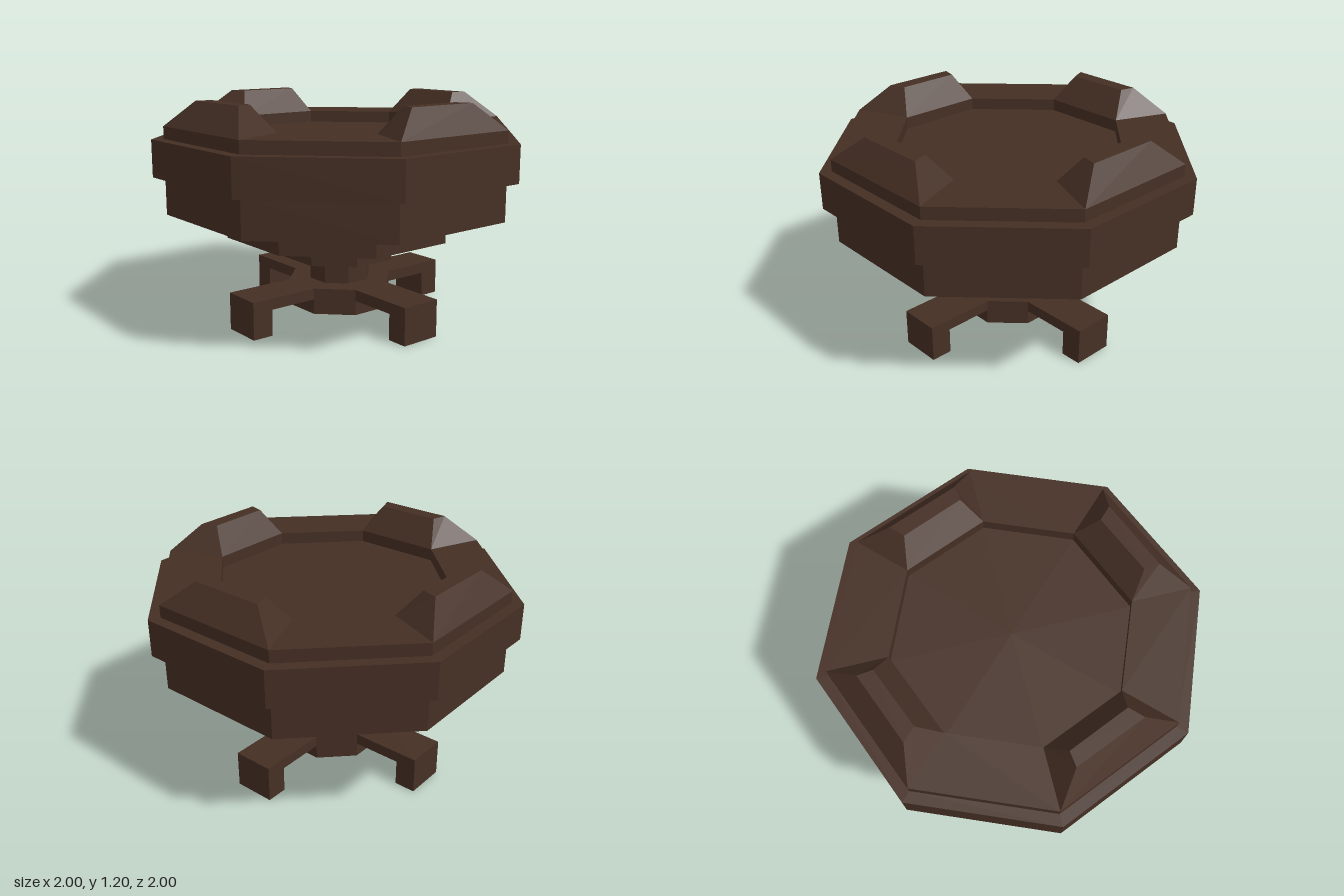
import * as THREE from 'three';

const wood = new THREE.MeshStandardMaterial({ color: 0x452f24, flatShading: true });
wood.name = 'dark brown';

function part(name, geometry) {
  const flat = geometry.index ? geometry.toNonIndexed() : geometry;
  flat.computeVertexNormals();
  const mesh = new THREE.Mesh(flat, wood);
  mesh.name = name;
  return mesh;
}

// Eight-sided solid turned from [radius, height] points, bottom to top
const turned = (pts) => new THREE.LatheGeometry(pts.map(([r, y]) => new THREE.Vector2(r, y)), 8);

// Tapered block between two rings of four [x, z] corners, counter-clockwise from above
function taperedBlock(low, y0, high, y1) {
  const corners = [...low.map(([x, z]) => [x, y0, z]), ...high.map(([x, z]) => [x, y1, z])];
  const index = [4, 5, 6, 4, 6, 7, 0, 2, 1, 0, 3, 2];
  for (let i = 0; i < 4; i++) {
    const j = (i + 1) % 4;
    index.push(i, j, j + 4, i, j + 4, i + 4);
  }
  const g = new THREE.BufferGeometry();
  g.setAttribute('position', new THREE.Float32BufferAttribute(corners.flat(), 3));
  g.setIndex(index);
  return g;
}

export function createModel() {
  const model = new THREE.Group();
  model.name = 'pedestalBowl';

  // Stepped bowl with a recessed floor
  model.add(part('bowl', turned([
    [0, 0.46], [0.625, 0.46], [0.625, 0.605], [0.937, 0.605], [0.937, 0.805],
    [1, 0.805], [1, 1], [0.937, 1], [0.937, 1.065], [0.625, 1.065], [0.625, 1], [0, 1],
  ])));

  // Collar, post and hub of the pedestal
  model.add(part('collar', turned([[0, 0.33], [0.313, 0.33], [0.313, 0.46], [0, 0.46]])));
  model.add(part('post', turned([[0, 0.2], [0.17, 0.2], [0.17, 0.33], [0, 0.33]])));
  model.add(part('hub', turned([[0, 0.06], [0.29, 0.06], [0.29, 0.2], [0, 0.2]])));

  // Side profile of a leg: radial distance, height
  const legShape = new THREE.Shape([
    [0.267, 0.14], [0.535, 0.14], [0.535, 0], [0.65, 0], [0.65, 0.2], [0.267, 0.2],
  ].map(([x, y]) => new THREE.Vector2(x, y)));
  const legWidth = 0.222;

  // Legs and rim blocks sit on every other side of the octagon
  for (let k = 0; k < 4; k++) {
    const turn = k * Math.PI / 2;

    const legGeometry = new THREE.ExtrudeGeometry(legShape, { depth: legWidth, bevelEnabled: false });
    legGeometry.translate(0, 0, -legWidth / 2);
    const leg = part('leg', legGeometry);
    leg.rotation.y = turn - Math.PI / 8;
    model.add(leg);

    const block = part('rimBlock', taperedBlock(
      [[0, 0.937], [0, 0.625], [-0.442, 0.442], [-0.663, 0.663]], 1.065,
      [[-0.105, 0.785], [-0.105, 0.695], [-0.425, 0.565], [-0.475, 0.63]], 1.2,
    ));
    block.rotation.y = turn;
    model.add(block);
  }

  return model;
}
